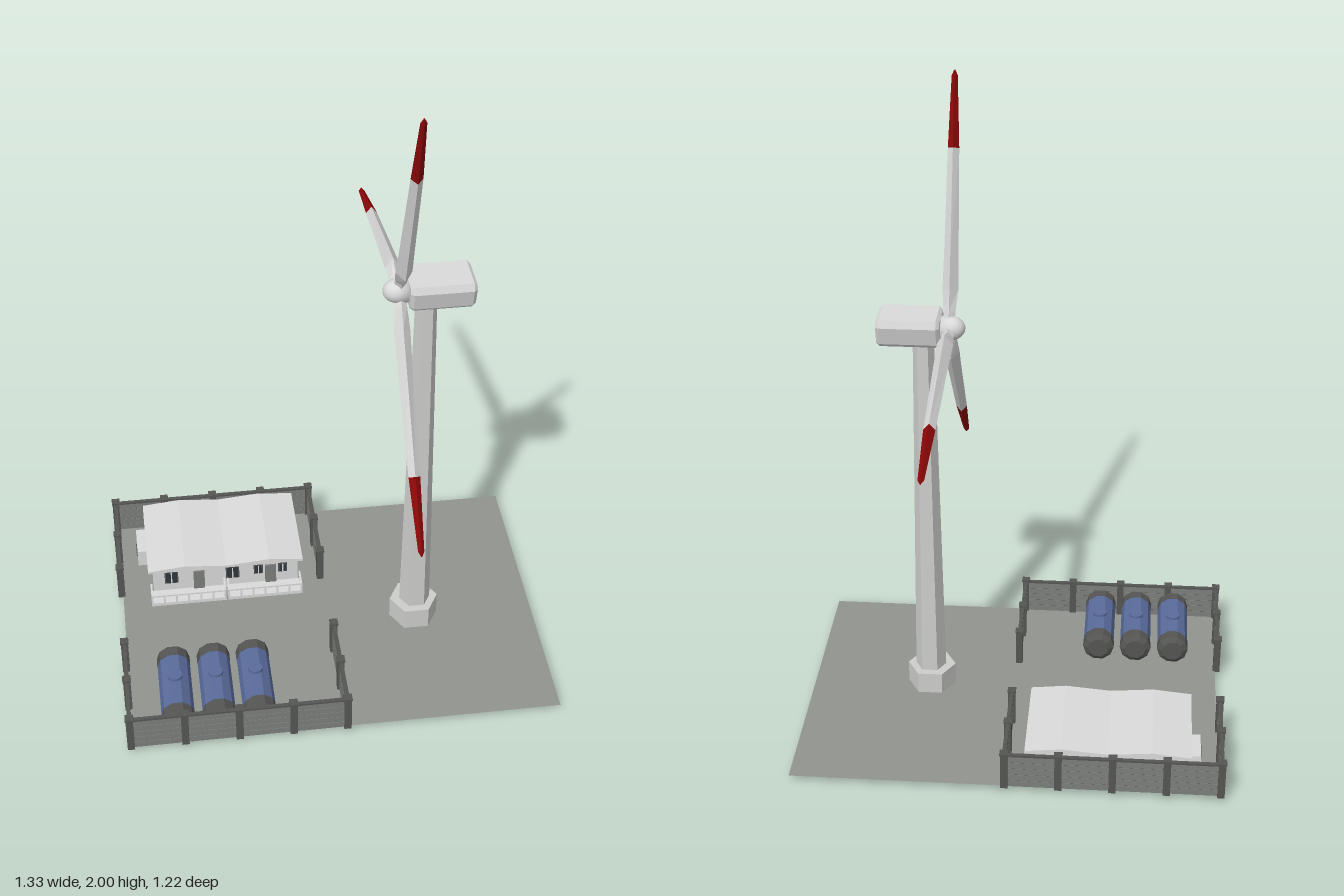
import * as THREE from 'three';

const mat = (name, color, extra = {}) => Object.assign(new THREE.MeshStandardMaterial({ color, flatShading: true, ...extra }), { name });

export function createModel() {
  const white = mat('offWhite', 0xdadada);
  const tower = mat('towerGrey', 0xcdcecc);
  const red = mat('tipRed', 0x8c0808);
  const blue = mat('tankBlue', 0x5a6c9c);
  const dark = mat('darkGrey', 0x555654);
  const concrete = mat('panelGrey', 0x7c7e7b);
  const paving = mat('paving', 0x90938e, { side: THREE.DoubleSide });
  const glass = mat('windowDark', 0x30363c);
  const hubWhite = mat('hubWhite', 0xdadada);
  hubWhite.flatShading = false;

  const model = new THREE.Group();
  const G = 0.02; // ground level
  const group = (name, parent = model) => {
    const g = new THREE.Group();
    g.name = name;
    parent.add(g);
    return g;
  };
  const add = (parent, name, geo, material, x = 0, y = 0, z = 0) => {
    const m = new THREE.Mesh(geo, material);
    m.name = name;
    m.position.set(x, y, z);
    parent.add(m);
    return m;
  };
  // box given by its min and max corners
  const box = (parent, name, material, x0, x1, y0, y1, z0, z1) =>
    add(parent, name, new THREE.BoxGeometry(x1 - x0, y1 - y0, z1 - z0), material, (x0 + x1) / 2, (y0 + y1) / 2, (z0 + z1) / 2);

  // ground sheet
  add(model, 'ground', new THREE.PlaneGeometry(1.31, 0.985).rotateX(-Math.PI / 2), paving, 0.005, G, 0.0975);

  // turbine tower, hexagonal
  const turbine = group('windTurbine');
  const hex = (r1, r0, h) => new THREE.CylinderGeometry(r1, r0, h, 6).rotateY(Math.PI / 2);
  add(turbine, 'towerBase', hex(0.077, 0.077, 0.092), tower, 0.277, 0.046, 0.135);
  add(turbine, 'towerShaft', hex(0.032, 0.049, 1.17), tower, 0.28, 0.675, 0.135);

  // nacelle: trapezoid section pulled along x
  const section = new THREE.Shape([[-0.038, -0.037], [0.038, -0.037], [0.045, -0.03], [0.059, 0.022], [0.054, 0.036], [-0.054, 0.036], [-0.059, 0.022], [-0.045, -0.03]].map(p => new THREE.Vector2(...p)));
  const nacelle = new THREE.ExtrudeGeometry(section, { depth: 0.17, bevelSize: 0.009, bevelThickness: 0.01, bevelSegments: 1 });
  add(turbine, 'nacelle', nacelle.rotateY(Math.PI / 2), white, 0.235, 1.295, 0.133);

  // hub with a round nose towards -x
  const nose = [new THREE.Vector2(0, -0.035), new THREE.Vector2(0.036, -0.035)];
  for (let i = 0; i <= 6; i++) {
    const a = (i / 6) * Math.PI / 2;
    nose.push(new THREE.Vector2(0.036 * Math.cos(a), 0.042 * Math.sin(a)));
  }
  add(turbine, 'hub', new THREE.LatheGeometry(nose, 16).rotateZ(Math.PI / 2), hubWhite, 0.195, 1.295, 0.135);

  // blade skin lofted through diamond sections [radius, trailing z, leading z, half thickness]
  const loft = rows => {
    const pos = [], idx = [];
    rows.forEach(([r, z0, z1, t]) => {
      const m = z0 * 0.5 + z1 * 0.5;
      pos.push(0, r, z1, t, r, m, 0, r, z0, -t, r, m);
    });
    for (let i = 0; i < rows.length - 1; i++) for (let j = 0; j < 4; j++) {
      const a = i * 4 + j, b = i * 4 + (j + 1) % 4;
      idx.push(a, b, b + 4, a, b + 4, a + 4);
    }
    const g = new THREE.BufferGeometry();
    g.setAttribute('position', new THREE.Float32BufferAttribute(pos, 3));
    g.setIndex(idx);
    const flat = g.toNonIndexed();
    flat.computeVertexNormals();
    return flat;
  };
  const joint = [0.53, -0.006, 0.034, 0.017];
  const body = loft([[0.02, -0.017, 0.017, 0.017], [0.05, -0.017, 0.019, 0.018], [0.115, -0.014, 0.05, 0.024], [0.2, -0.012, 0.048, 0.022], joint]);
  const tip = loft([joint, [0.74, -0.008, 0.012, 0.009], [0.755, -0.002, 0.005, 0.002], [0.756, 0, 0.001, 0]]);
  for (let i = 0; i < 3; i++) {
    const blade = group('blade' + (i + 1), turbine);
    blade.position.set(0.202, 1.295, 0.135);
    blade.rotation.x = THREE.MathUtils.degToRad(21 + 120 * i);
    add(blade, 'bladeBody', body, white);
    add(blade, 'bladeTip', tip, red);
  }

  // fence: runs of boarded panels between posts
  const fence = group('fence');
  const X0 = -0.655, X1 = 0, Z0 = -0.393, Z1 = 0.588;
  const run = (xa, za, xb, zb, n) => {
    const len = Math.hypot(xb - xa, zb - za) / n, alongX = za === zb;
    const slab = (name, m, x, y, z, h, t) =>
      add(fence, name, new THREE.BoxGeometry(alongX ? len : t, h, alongX ? t : len), m, x, y, z);
    for (let i = 0; i <= n; i++) {
      const x = xa + (xb - xa) * i / n, z = za + (zb - za) * i / n;
      box(fence, 'fencePost', dark, x - 0.011, x + 0.011, 0.017, 0.138, z - 0.011, z + 0.011);
      box(fence, 'postCap', dark, x - 0.013, x + 0.013, 0.138, 0.144, z - 0.013, z + 0.013);
      if (i === n) break;
      const cx = x + (xb - xa) / n / 2, cz = z + (zb - za) / n / 2;
      slab('fenceCore', dark, cx, 0.077, cz, 0.114, 0.006);
      for (let k = 0; k < 5; k++) slab('fenceBoard', concrete, cx, 0.031 + k * 0.0222, cz, 0.0205, 0.009);
      slab('fenceRail', dark, cx, 0.134, cz, 0.006, 0.012);
    }
  };
  run(X0, Z0, X1, Z0, 4);
  run(X0, Z1, X1, Z1, 4);
  for (const x of [X0, X1]) {
    run(x, Z0, x, -0.07, 2);
    run(x, 0.268, x, Z1, 2);
  }

  // storage tanks lying along z
  for (const x of [-0.508, -0.384, -0.262]) {
    const tank = group('storageTank');
    tank.position.set(x, 0.076, 0.428);
    const drum = (name, r0, r1, z0, z1, m) =>
      add(tank, name, new THREE.CylinderGeometry(r1, r0, z1 - z0, 10).rotateY(Math.PI / 10).rotateX(Math.PI / 2), m, 0, 0, (z0 + z1) / 2);
    drum('tankBody', 0.05, 0.05, -0.1, 0.1, blue);
    drum('tankEndFront', 0.051, 0.051, 0.1, 0.135, dark);
    drum('tankEndBack', 0.051, 0.051, -0.135, -0.1, dark);
    drum('tankDomeFront', 0.051, 0.034, 0.135, 0.147, dark);
    drum('tankDomeBack', 0.034, 0.051, -0.147, -0.135, dark);
    add(tank, 'tankHatch', new THREE.CylinderGeometry(0.022, 0.022, 0.012, 16), blue, 0, 0.05, -0.01);
    for (const z of [-0.07, 0.07]) box(tank, 'tankCradle', dark, -0.036, 0.036, -0.056, -0.03, z - 0.01, z + 0.01);
  }

  // service building
  const house = group('serviceBuilding');
  box(house, 'walls', white, -0.55, -0.075, G, 0.128, -0.355, -0.06);

  // roof sheet with two shallow ridges
  const roof = new THREE.Shape([[-0.565, 0.126], [-0.06, 0.126], [-0.06, 0.134], [-0.17, 0.146], [-0.312, 0.134], [-0.445, 0.146], [-0.565, 0.134]].map(p => new THREE.Vector2(...p)));
  add(house, 'roof', new THREE.ExtrudeGeometry(roof, { depth: 0.33, bevelEnabled: false }), white, 0, 0, -0.37);

  // porch decks with railings either side of a narrow gap
  for (const [a, b] of [[-0.56, -0.316], [-0.31, -0.067]]) {
    box(house, 'porchDeck', white, a, b, G, 0.032, -0.06, 0);
    box(house, 'porchRail', white, a, b, 0.058, 0.064, -0.006, 0);
    for (let i = 0; i <= 6; i++) {
      const x = a + 0.003 + (b - a - 0.006) * i / 6;
      box(house, 'railPost', white, x - 0.003, x + 0.003, 0.03, 0.06, -0.006, 0);
    }
    for (const x of [a, b - 0.006]) box(house, 'railEnd', white, x, x + 0.006, 0.058, 0.064, -0.06, -0.006);
  }

  // doors and windows on the long walls
  const opening = (x, w, y0, y1, z, s) => {
    const zs = d => [z, z + s * d].sort((p, q) => p - q);
    box(house, 'frame', dark, x - w / 2 - 0.004, x + w / 2 + 0.004, y0 - 0.004, y1 + 0.004, ...zs(0.003));
    box(house, 'pane', glass, x - w / 2, x + w / 2, y0, y1, ...zs(0.005));
    box(house, 'mullion', white, x - 0.002, x + 0.002, y0, y1, ...zs(0.007));
  };
  for (const x of [-0.49, -0.29]) opening(x, 0.036, 0.066, 0.108, -0.06, 1);
  for (const x of [-0.205, -0.125]) opening(x, 0.022, 0.075, 0.105, -0.06, 1);
  for (const x of [-0.4, -0.165]) box(house, 'door', concrete, x - 0.018, x + 0.018, 0.032, 0.105, -0.06, -0.054);
  for (const x of [-0.44, -0.19]) {
    opening(x, 0.04, 0.07, 0.105, -0.355, -1);
    box(house, 'windowSill', white, x - 0.03, x + 0.03, 0.058, 0.064, -0.376, -0.355);
  }

  // outdoor cooling unit on the end wall
  box(house, 'coolingUnit', white, -0.594, -0.55, 0.03, 0.09, -0.3, -0.19);
  add(house, 'coolingFan', new THREE.CylinderGeometry(0.02, 0.02, 0.004, 16).rotateZ(Math.PI / 2), dark, -0.595, 0.06, -0.235);

  return model;
}
